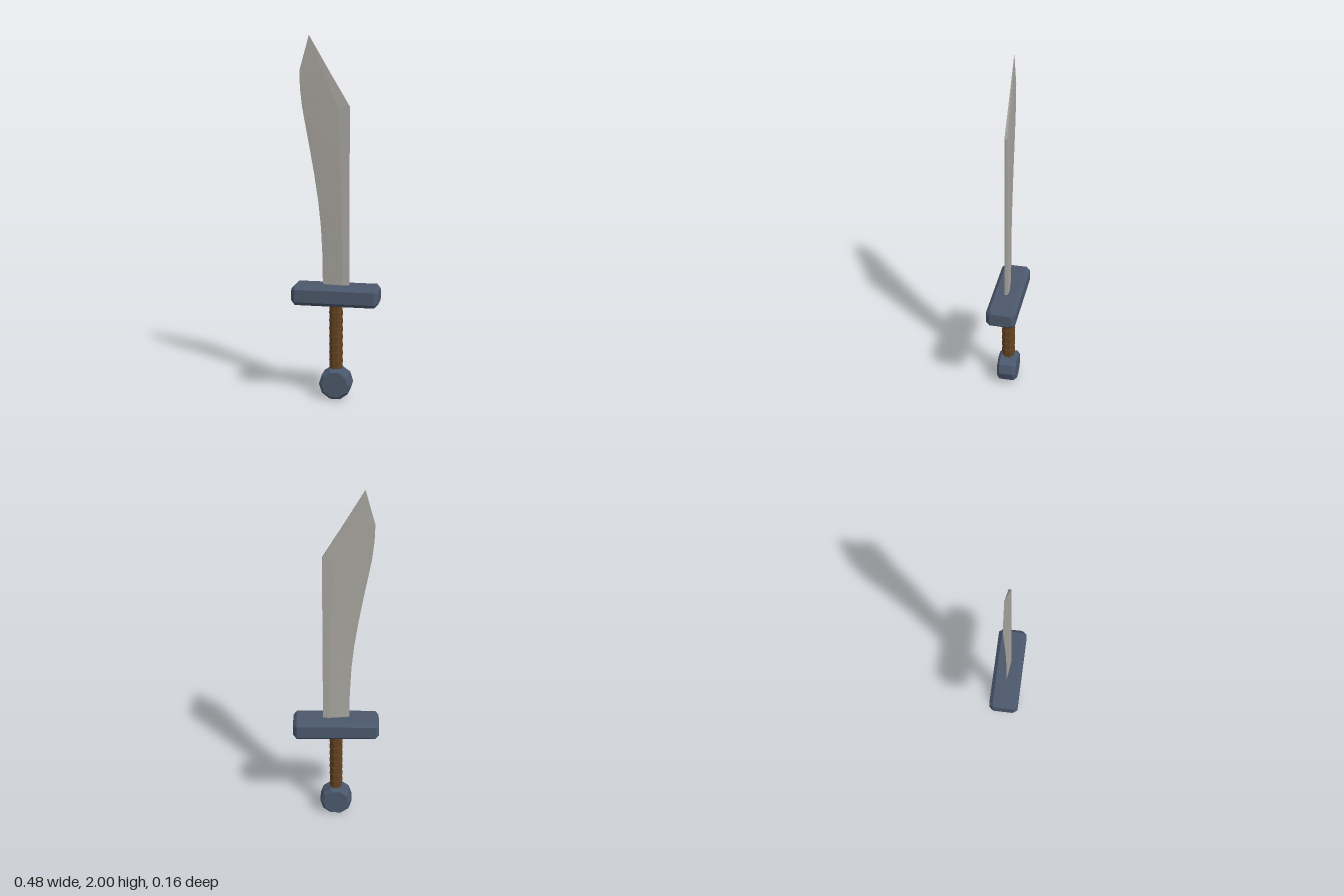
import * as THREE from 'three';

function material(name, color) {
  const m = new THREE.MeshStandardMaterial({ color, flatShading: true });
  m.name = name;
  return m;
}

// Flat-faced geometry from equal closed rings of [x, y, z], capped at both ends
function loft(rings) {
  const pos = [];
  const tri = (a, b, c) => pos.push(...a, ...b, ...c);
  const n = rings[0].length;
  for (let i = 0; i < rings.length - 1; i++) {
    for (let j = 0; j < n; j++) {
      const k = (j + 1) % n;
      const [a, b, c, d] = [rings[i][j], rings[i][k], rings[i + 1][k], rings[i + 1][j]];
      tri(a, c, b);
      tri(a, d, c);
    }
  }
  const first = rings[0], last = rings[rings.length - 1];
  for (let j = 1; j < n - 1; j++) {
    tri(first[0], first[j], first[j + 1]);
    tri(last[0], last[j + 1], last[j]);
  }
  const g = new THREE.BufferGeometry();
  g.setAttribute('position', new THREE.Float32BufferAttribute(pos, 3));
  g.computeVertexNormals();
  return g;
}

// Cut-cornered rectangle across the x axis; h and d are half sizes
function octagon(x, h, d, c) {
  return [[h, d - c], [h - c, d], [c - h, d], [-h, d - c],
    [-h, c - d], [c - h, -d], [h - c, -d], [h, c - d]].map(([y, z]) => [x, y, z]).reverse();
}

export function createModel() {
  const steel = material('blade steel', 0xa9a69f);
  const iron = material('blue iron', 0x4b586c);
  const wood = material('brown grip', 0x654423);

  const model = new THREE.Group();
  const add = (name, geometry, mat, y) => {
    const mesh = new THREE.Mesh(geometry, mat);
    mesh.name = name;
    mesh.position.y = y;
    model.add(mesh);
  };

  // Blade sections: height, cutting edge x, spine x, half thickness
  const sections = [
    [0.60, -0.074, 0.073, 0.013], [0.80, -0.076, 0.073, 0.0125],
    [0.96, -0.084, 0.073, 0.012], [1.10, -0.098, 0.073, 0.0115],
    [1.25, -0.120, 0.073, 0.011], [1.40, -0.146, 0.073, 0.0105],
    [1.55, -0.174, 0.073, 0.010], [1.625, -0.187, 0.073, 0.0095],
    [1.72, -0.197, 0.0165, 0.007], [1.81, -0.200, -0.037, 0.005],
    [2.00, -0.147, -0.147, 0],
  ];
  const rings = sections.map(([y, edge, spine, t]) => {
    const ridge = spine - (spine - edge) * 0.24;
    return [[edge, y, 0], [ridge, y, -t], [spine, y, -t * 0.75],
      [spine, y, t * 0.75], [ridge, y, t]];
  });
  // rings run clockwise seen from below, so the sides face outward
  add('blade', loft(rings), steel, 0);

  // Cross guard: eight-sided bar with tapered ends
  add('guard', loft([
    octagon(-0.24, 0.035, 0.061, 0.01), octagon(-0.22, 0.055, 0.081, 0.02),
    octagon(0.22, 0.055, 0.081, 0.02), octagon(0.24, 0.035, 0.061, 0.01),
  ]), iron, 0.59);

  // Grip: eight-sided stepped profile, each wrap flaring upward
  const profile = [new THREE.Vector2(0.034, 0.15)];
  const wraps = 8, bottom = 0.175, step = 0.046;
  for (let i = 0; i < wraps; i++) {
    const y = bottom + i * step;
    profile.push(new THREE.Vector2(0.036, y), new THREE.Vector2(0.0395, y + step * 0.98));
  }
  add('grip', new THREE.LatheGeometry(profile, 8, Math.PI / 8), wood, 0);

  // Pommel: ten-sided disc with bevelled rims, facing front and back
  const disc = [[0, -0.055], [0.074, -0.055], [0.09, -0.04],
    [0.09, 0.04], [0.074, 0.055], [0, 0.055]].map(([r, y]) => new THREE.Vector2(r, y));
  const pommel = new THREE.LatheGeometry(disc, 10, Math.PI / 2);
  pommel.rotateX(Math.PI / 2);
  add('pommel', pommel, iron, 0.09 * Math.cos(Math.PI / 10));

  return model;
}
